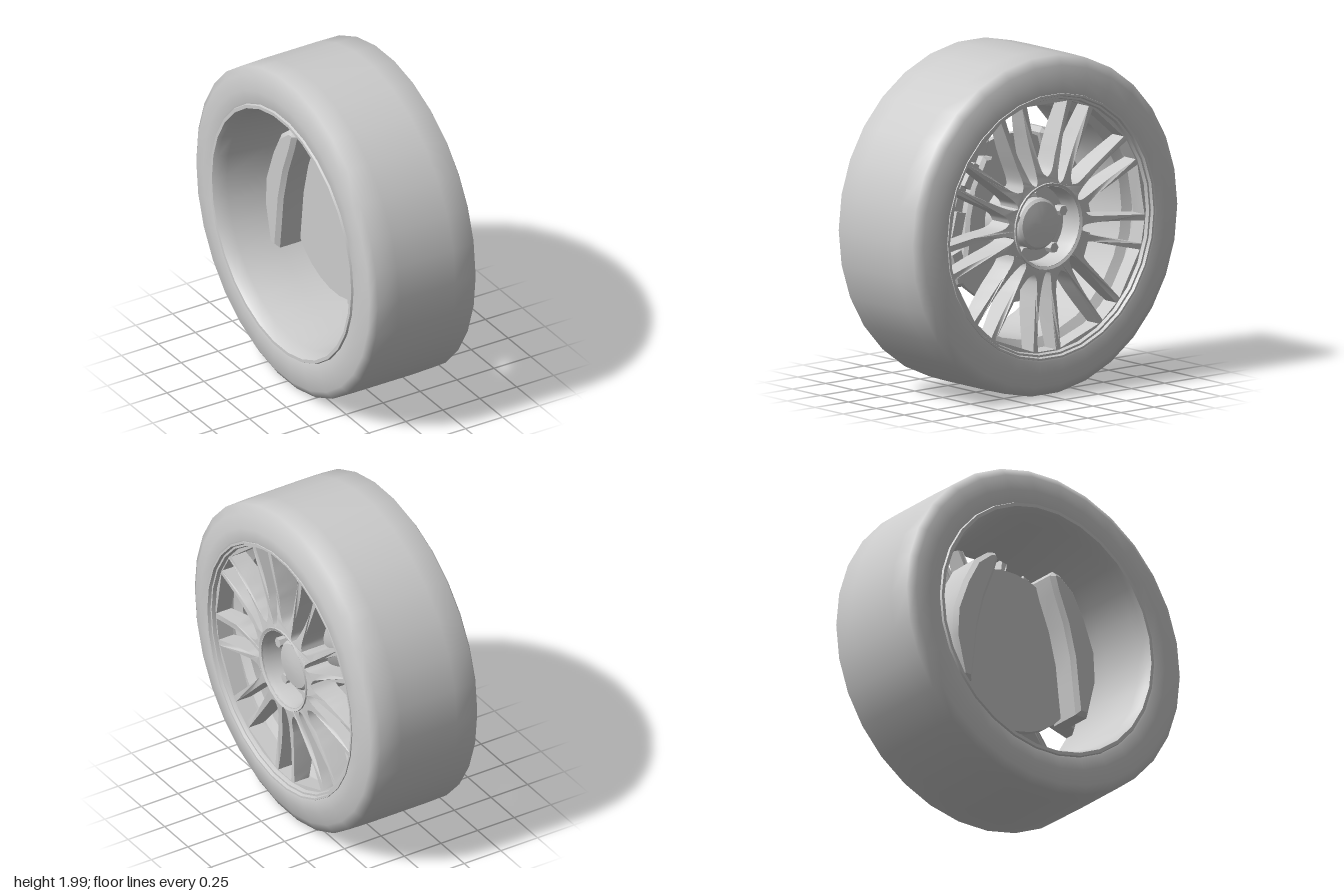
import * as THREE from 'three';
import { toCreasedNormals } from 'three/addons/utils/BufferGeometryUtils.js';

const SIDES = 30;
const material = new THREE.MeshStandardMaterial({ color: 0xcccccc, side: THREE.DoubleSide });

function part(name, geometry, crease) {
  const mesh = new THREE.Mesh(crease ? toCreasedNormals(geometry, crease) : geometry, material);
  mesh.name = name;
  return mesh;
}

// Revolves [x, radius] points around the x axis
function revolve(points, sides = SIDES) {
  const profile = points.map(([x, r]) => new THREE.Vector2(r, x));
  return new THREE.LatheGeometry(profile, sides).rotateZ(-Math.PI / 2);
}

// Extrudes a shape drawn in (z, y) between two x positions
function slab(shape, x0, x1, bevel = 0) {
  return new THREE.ExtrudeGeometry(shape, {
    depth: x1 - x0 - 2 * bevel, bevelEnabled: bevel > 0, bevelSize: bevel,
    bevelThickness: bevel, bevelOffset: -bevel, bevelSegments: 1, curveSegments: 24,
  }).translate(0, 0, x0 + bevel).rotateY(Math.PI / 2);
}

// U-shaped window between spokes; half-profile is [tangent, radius]
function spokeWindow(half, angle) {
  const side = new THREE.SplineCurve(half.map(([t, r]) => new THREE.Vector2(t, r))).getPoints(14);
  const loop = [...side, ...side.slice(0, -1).reverse().map((p) => new THREE.Vector2(-p.x, p.y))];
  return new THREE.Path(loop.map((p) => p.rotateAround(new THREE.Vector2(), angle)));
}

function createSpokes() {
  const ring = [];
  for (let i = 0; i < SIDES; i++) {
    const a = (i / SIDES) * Math.PI * 2;
    ring.push(new THREE.Vector2(0.75 * Math.cos(a), 0.75 * Math.sin(a)));
  }
  const shape = new THREE.Shape(ring);
  const narrow = [[0.068, 0.732], [0.052, 0.52], [0.038, 0.37], [0.022, 0.285], [0, 0.258]];
  const wide = [[0.152, 0.718], [0.09, 0.5], [0.06, 0.385], [0.034, 0.32], [0, 0.29]];
  for (let k = 0; k < 9; k++) {
    const a = (k * Math.PI * 2) / 9;
    shape.holes.push(spokeWindow(wide, a), spokeWindow(narrow, a + Math.PI / 9));
  }
  shape.holes.push(new THREE.Path().absarc(0, 0, 0.235, 0, Math.PI * 2, true));
  const geometry = slab(shape, 0, 1);
  // Spokes are deepest at the hub and thin out toward the rim
  const pos = geometry.attributes.position;
  for (let i = 0; i < pos.count; i++) {
    const r = Math.hypot(pos.getY(i), pos.getZ(i));
    const t = THREE.MathUtils.clamp((r - 0.25) / 0.49, 0, 1);
    const front = 0.35 - 0.02 * Math.sin(t * Math.PI) - 0.01 * t;
    const depth = 0.16 - 0.06 * t;
    pos.setX(i, pos.getX(i) > 0.5 ? front : front - depth);
  }
  return part('spokes', geometry, 0.6);
}

function createCaliper(side) {
  const caliper = new THREE.Group();
  caliper.name = side > 0 ? 'frontCaliper' : 'rearCaliper';
  const outline = (pts) => new THREE.Shape(pts.map(([z, y]) => new THREE.Vector2(-z * side, y)));
  const body = outline([[0.19, 0.48], [0.21, 0.51], [0.26, 0.5], [0.36, 0.42], [0.44, 0.27], [0.51, 0.08],
    [0.52, -0.1], [0.46, -0.35], [0.38, -0.35], [0.36, -0.18], [0.34, 0], [0.29, 0.2], [0.22, 0.38]]);
  const face = outline([[0.22, 0.4], [0.29, 0.41], [0.38, 0.24], [0.42, 0.06], [0.43, -0.1],
    [0.45, -0.22], [0.33, -0.22], [0.29, 0], [0.28, 0.18], [0.34, 0.22]]);
  caliper.add(part('caliperBody', slab(body, -0.18, 0.07, 0.025), 0.5));
  caliper.add(part('caliperFace', slab(face, 0.04, 0.13, 0.02), 0.5));
  // Angular ribs on the outer edge
  for (const [z, y, tilt] of [[0.47, 0.03, 0.25], [0.46, -0.2, -0.35], [0.36, 0.3, 0.55]]) {
    const rib = part('caliperRib', new THREE.BoxGeometry(0.06, 0.15, 0.07));
    rib.position.set(0.08, y, z * side);
    rib.rotation.x = -tilt * side;
    caliper.add(rib);
  }
  return caliper;
}

export function createModel() {
  const wheel = new THREE.Group();
  wheel.name = 'wheel';

  // Tyre with rounded shoulders
  wheel.add(part('tyre', revolve([[-0.36, 0.755], [-0.378, 0.79], [-0.38, 0.86], [-0.37, 0.95], [-0.34, 0.997],
    [-0.2, 1], [0.18, 1], [0.32, 0.997], [0.352, 0.94], [0.374, 0.86], [0.38, 0.79], [0.36, 0.76]])));

  // Rim lip, spoke seat and open barrel
  wheel.add(part('rim', revolve([[0.355, 0.785], [0.38, 0.78], [0.38, 0.768], [0.362, 0.762], [0.362, 0.75],
    [0.335, 0.742], [0.22, 0.74], [0.19, 0.685], [-0.05, 0.695], [-0.3, 0.725], [-0.36, 0.74],
    [-0.385, 0.755], [-0.385, 0.775], [-0.36, 0.785]]), 0.5));

  wheel.add(createSpokes());

  // Recessed hub dish and domed centre cap
  wheel.add(part('hubDish', revolve([[0.335, 0.258], [0.357, 0.253], [0.35, 0.238], [0.31, 0.226],
    [0.22, 0.222], [0.22, 0]]), 0.5));
  wheel.add(part('centreCap', revolve([[0.21, 0.155], [0.265, 0.15], [0.28, 0.135], [0.287, 0.09],
    [0.292, 0.045], [0.294, 0]]), 0.5));

  // Five hexagonal lug nuts
  for (let i = 0; i < 5; i++) {
    const a = (i * Math.PI * 2) / 5;
    const nut = part('lugNut', new THREE.CylinderGeometry(0.031, 0.031, 0.06, 6).rotateZ(-Math.PI / 2), 0.4);
    nut.position.set(0.245, 0.187 * Math.cos(a), 0.187 * Math.sin(a));
    wheel.add(nut);
  }

  // Brake disc and its carrier
  wheel.add(part('brakeDisc', revolve([[-0.02, 0], [-0.02, 0.5], [0.02, 0.5], [0.02, 0]]), 0.5));
  wheel.add(part('discCarrier', revolve([[0.02, 0.2], [0.2, 0.2], [0.22, 0.22]]), 0.9));

  wheel.add(createCaliper(1), createCaliper(-1));

  // Rest the flat facet of the tyre on the ground
  wheel.position.y = Math.cos(Math.PI / SIDES);
  const model = new THREE.Group();
  model.add(wheel);
  return model;
}
